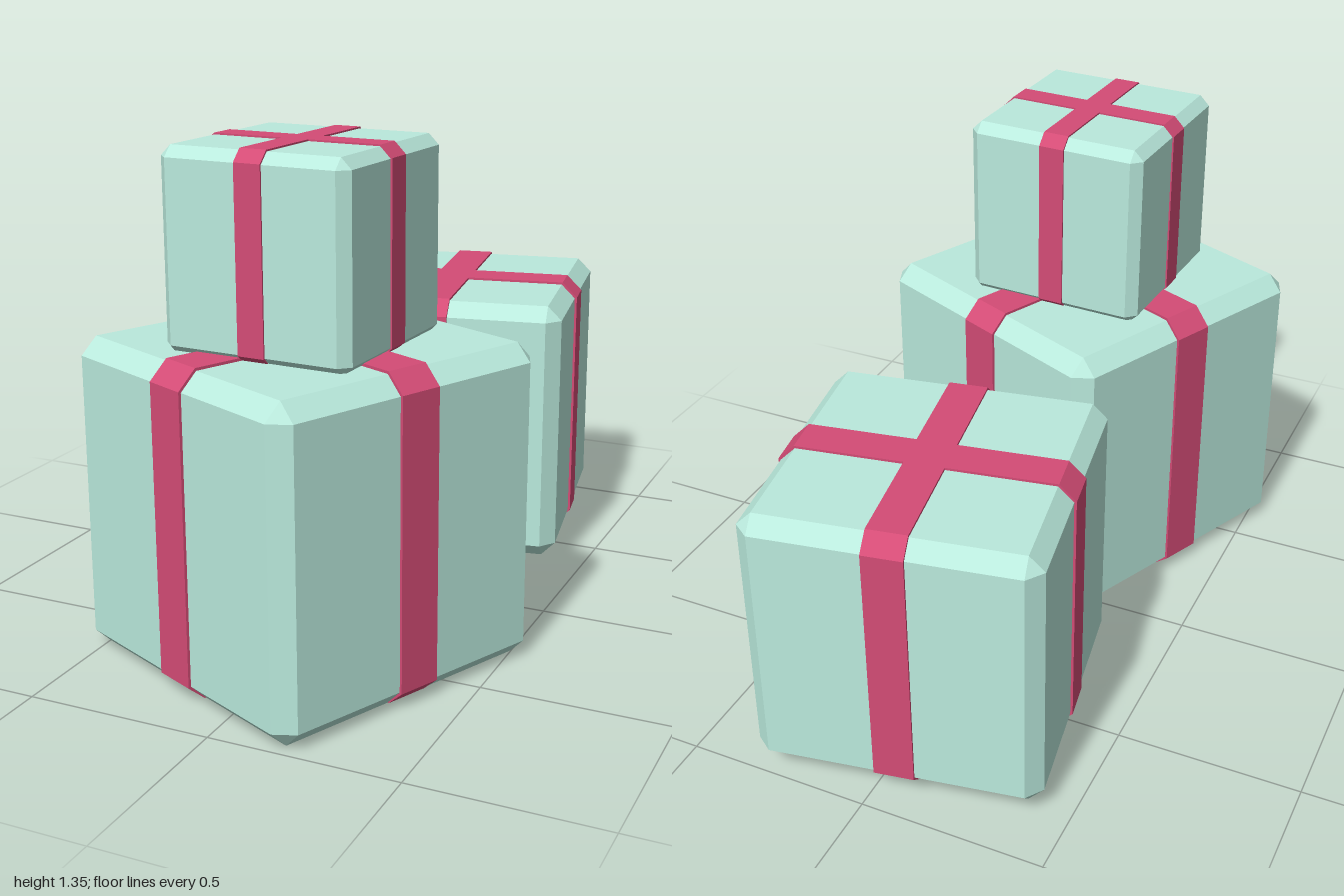
import * as THREE from 'three';
import { ConvexGeometry } from 'three/addons/geometries/ConvexGeometry.js';

const paper = new THREE.MeshStandardMaterial({ color: 0xbaeadd, flatShading: true });
const ribbon = new THREE.MeshStandardMaterial({ color: 0xd44c76, flatShading: true });

// Unit present: a cube of half size 1, all proportions relative to it
const CHAMFER = 0.107, RIBBON_WIDTH = 0.28, RIBBON_THICKNESS = 0.017;

// Cube with chamfered edges and triangular corners
function chamferedCube() {
  const a = 1 - CHAMFER, points = [];
  for (const x of [-1, 1]) for (const y of [-1, 1]) for (const z of [-1, 1]) {
    points.push(
      new THREE.Vector3(x, y * a, z * a),
      new THREE.Vector3(x * a, y, z * a),
      new THREE.Vector3(x * a, y * a, z));
  }
  return new ConvexGeometry(points);
}

// Band following the chamfered profile over sides and top, ending at the base
function ribbonBand() {
  const o = 1 + RIBBON_THICKNESS, a = 1 - CHAMFER + RIBBON_THICKNESS * 0.41;
  const base = -0.998, foot = a + 0.005;
  const shape = new THREE.Shape([
    [-foot, base], [foot, base], [o, -a], [o, a], [a, o], [-a, o], [-o, a], [-o, -a],
  ].map(([x, y]) => new THREE.Vector2(x, y)));
  return new THREE.ExtrudeGeometry(shape, { depth: RIBBON_WIDTH, bevelEnabled: false })
    .translate(0, 0, -RIBBON_WIDTH / 2);
}

function present(name, half, base, z, degrees) {
  const group = new THREE.Group();
  group.name = name;
  const box = new THREE.Mesh(chamferedCube(), paper);
  box.name = 'wrappedBox';
  group.add(box);

  // Two crossing ribbons
  ['ribbonAcross', 'ribbonFrontToBack'].forEach((label, i) => {
    const band = new THREE.Mesh(ribbonBand(), ribbon);
    band.name = label;
    band.rotation.y = i * Math.PI / 2;
    group.add(band);
  });

  group.scale.setScalar(half);
  group.position.set(0, base + half, z);
  group.rotation.y = THREE.MathUtils.degToRad(degrees);
  return group;
}

export function createModel() {
  const model = new THREE.Group();
  model.name = 'presents';
  model.add(
    present('largePresent', 0.422, 0, 0.46, -24.3),
    present('smallPresent', 0.258, 0.832, 0.46, -3),
    present('mediumPresent', 0.379, 0.04, -0.57, 10));
  return model;
}
